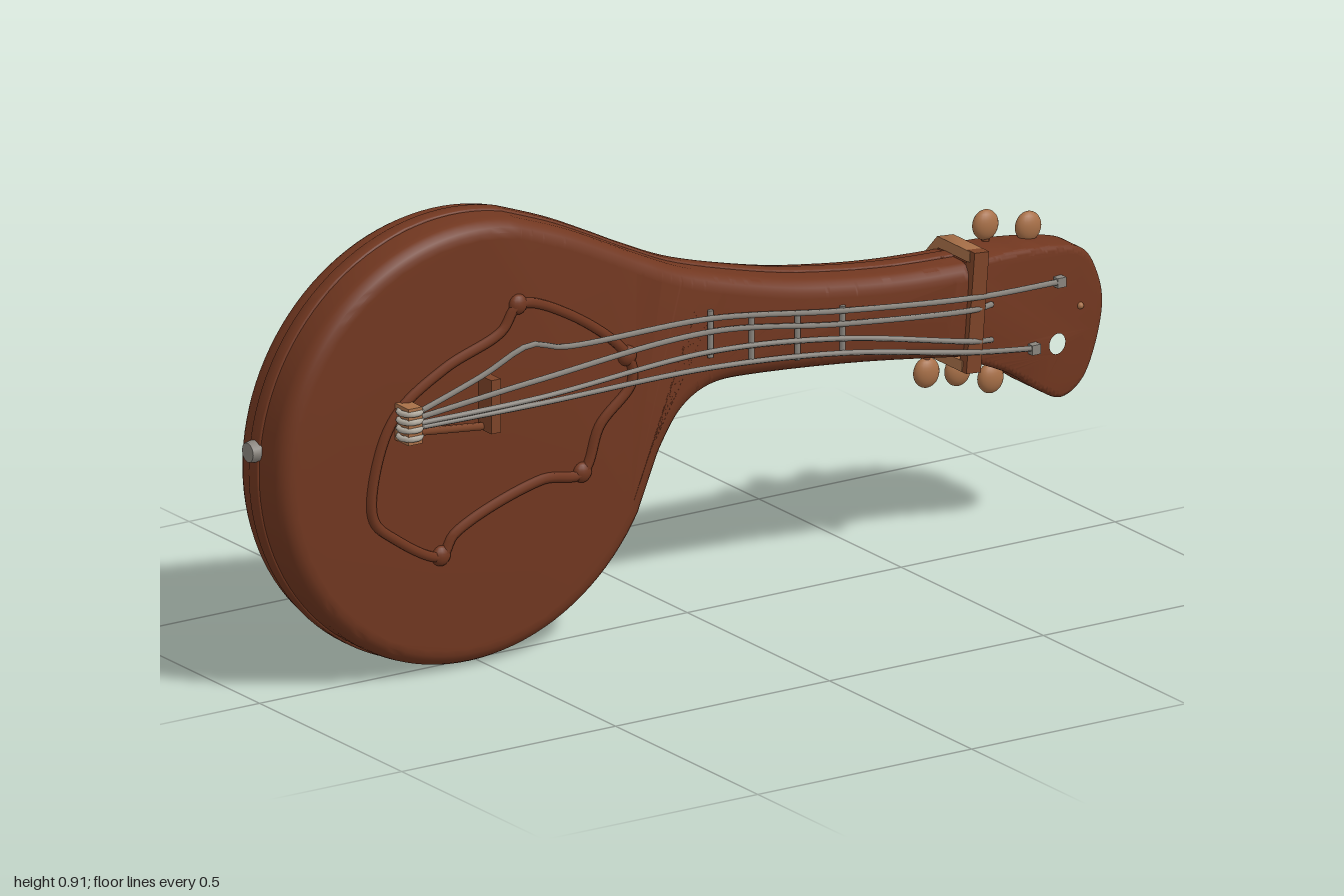
import * as THREE from 'three';
import { toCreasedNormals } from 'three/addons/utils/BufferGeometryUtils.js';

const mat = (name, color) => Object.assign(new THREE.MeshStandardMaterial({ color }), { name });
const V2 = (p) => new THREE.Vector2(p[0], p[1]);
const V3 = (p) => new THREE.Vector3(p[0], p[1], p[2]);

export function createModel() {
  const root = new THREE.Group();
  root.name = 'stringInstrument';
  const wood = mat('redBrownWood', 0x713720);
  const trim = mat('midBrownTrim', 0x7d4428);
  const tan = mat('tanWood', 0xa87048);
  const metal = mat('greyMetal', 0x8a857e);
  const pale = mat('paleMetal', 0xb5aea2);

  const add = (name, geo, material, pos = [0, 0, 0], parent = root) => {
    const m = new THREE.Mesh(geo, material);
    m.name = name;
    m.position.set(...pos);
    parent.add(m);
    return m;
  };
  // Extrusion filling z0..z1 with rounded edges; grow widens the outline; warp moves vertices
  const slab = (shape, z0, z1, round, grow = 0, warp = null) => {
    const g = new THREE.ExtrudeGeometry(shape, {
      depth: z1 - z0 - 2 * round, bevelThickness: round, bevelSize: round,
      bevelOffset: grow - round, bevelSegments: 5, curveSegments: 40,
    });
    g.translate(0, 0, z0 + round);
    if (warp) {
      const p = g.attributes.position;
      for (let i = 0; i < p.count; i++) p.setZ(i, warp(p.getX(i), p.getZ(i)));
    }
    return toCreasedNormals(g, 0.6);
  };
  const tube = (pts, r, closed = false, n = 60) => new THREE.TubeGeometry(
    new THREE.CatmullRomCurve3(pts.map(V3), closed, 'centripetal'), n, r, 6, closed);

  // Front surface height along the neck
  const frontZ = (x) => 0.05 - 0.02 * THREE.MathUtils.clamp((x + 0.1) / 0.75, 0, 1);

  // Round body flowing into the neck
  const outline = new THREE.Shape();
  const a0 = 1.31, a1 = 2 * Math.PI - 0.5;
  outline.moveTo(0.67, 0.603);
  outline.splineThru([[0.5, 0.611], [0.35, 0.628], [0.2, 0.655], [0, 0.71], [-0.12, 0.762],
    [-0.2, 0.802], [-0.3, 0.85], [-0.53 + 0.452 * Math.cos(a0), 0.457 + 0.452 * Math.sin(a0)]].map(V2));
  outline.absarc(-0.53, 0.457, 0.452, a0, a1, false);
  outline.splineThru([[-0.105, 0.31], [-0.078, 0.37], [-0.03, 0.435], [0.04, 0.468],
    [0.15, 0.468], [0.4, 0.443], [0.67, 0.403]].map(V2));
  const neckWarp = (x, z) => -0.112 + (z + 0.112) * (frontZ(x) + 0.112) / 0.162;
  add('body', slab(outline, -0.112, 0.05, 0.035, 0, neckWarp), wood);
  add('seamBand', slab(outline, -0.062, -0.028, 0.006, 0.005), wood);

  // Head with a round hole, thinning toward its tip
  const head = new THREE.Shape();
  head.moveTo(0.64, 0.605);
  head.splineThru([[0.75, 0.602], [0.88, 0.585], [0.95, 0.56], [0.985, 0.505], [0.998, 0.44],
    [0.98, 0.36], [0.945, 0.295], [0.89, 0.27], [0.83, 0.298], [0.75, 0.352], [0.64, 0.403]].map(V2));
  const hole = new THREE.Path();
  hole.absarc(0.875, 0.385, 0.036, 0, Math.PI * 2, true);
  head.holes.push(hole);
  add('head', slab(head, -0.11, 0.022, 0.015, 0,
    (x, z) => -0.11 + (z + 0.11) * (0.132 - 0.058 * (x - 0.66) / 0.34) / 0.132), wood);
  add('headStud', new THREE.SphereGeometry(0.007, 10, 8), tan, [0.935, 0.45, -0.024]);

  // Collar around the neck: front bar and wrapping back
  const collar = new THREE.Group();
  collar.name = 'collar';
  collar.position.set(0.65, 0.507, 0);
  collar.rotation.z = -0.08;
  root.add(collar);
  const bar = add('collarFront', new THREE.BoxGeometry(0.034, 0.245, 0.026), trim, [0, 0, 0.031], collar);
  bar.castShadow = false;
  const wrap = new THREE.Shape([[0.03, 0.122], [-0.085, 0.122], [-0.124, 0.08], [-0.124, -0.08],
    [-0.085, -0.122], [0.03, -0.122], [0.03, -0.1], [-0.08, -0.1], [-0.108, -0.07], [-0.108, 0.07],
    [-0.08, 0.1], [0.03, 0.1]].map(([z, y]) => new THREE.Vector2(-z, y)));
  const wrapGeo = new THREE.ExtrudeGeometry(wrap, { depth: 0.038, bevelEnabled: false });
  wrapGeo.translate(0, 0, -0.019).rotateY(Math.PI / 2);
  add('collarBack', toCreasedNormals(wrapGeo, 0.9), tan, [0, 0, 0], collar);

  // Tuning pegs on short stalks
  for (const [x, y, s] of [[0.75, 0.635, -1], [0.85, 0.613, -1], [0.612, 0.357, 1], [0.685, 0.347, 1], [0.762, 0.318, 1]]) {
    const g = new THREE.SphereGeometry(0.031, 20, 14);
    g.scale(0.93, 1, 0.55);
    add('pegKnob', g, tan, [x, y, -0.08]);
    add('pegStalk', new THREE.CylinderGeometry(0.008, 0.008, 0.06, 10), trim, [x, y + s * 0.035, -0.08]);
  }

  // Raised rim of the angular face guard, with a knob at each corner
  const guard = [[-0.755, 0.48], [-0.77, 0.35], [-0.72, 0.3], [-0.61, 0.245], [-0.58, 0.285],
    [-0.377, 0.358], [-0.28, 0.355], [-0.24, 0.445], [-0.165, 0.52], [-0.175, 0.575],
    [-0.31, 0.685], [-0.43, 0.728], [-0.47, 0.68], [-0.6, 0.63], [-0.71, 0.56]];
  add('guardRim', tube(guard.map(([x, y]) => [x, y, 0.052]), 0.011, true, 160), wood);
  for (const i of [3, 6, 9, 11]) {
    const g = new THREE.SphereGeometry(0.021, 14, 10);
    g.scale(1, 1, 0.65);
    add('guardCorner', g, wood, [guard[i][0], guard[i][1], 0.051]);
  }

  // Tailpiece with wound string ends, and the bridge
  add('tailpiece', new THREE.BoxGeometry(0.032, 0.075, 0.05), tan, [-0.7, 0.54, 0.072]);
  for (let i = 0; i < 4; i++) {
    const t = new THREE.TorusGeometry(0.022, 0.006, 6, 14);
    t.rotateX(Math.PI / 2);
    add('stringWinding', t, pale, [-0.7, 0.515 + i * 0.017, 0.077]);
  }
  add('bridge', new THREE.BoxGeometry(0.022, 0.11, 0.05), trim, [-0.51, 0.545, 0.07]);
  add('bridgeTie', tube([[-0.69, 0.52, 0.075], [-0.6, 0.508, 0.068], [-0.515, 0.497, 0.062]], 0.008, false, 12), trim);

  // Strings, rising off the face and running to the head
  const strings = [
    [[-0.7, 0.555, 0.08], [-0.54, 0.615, 0.095], [-0.44, 0.662, 0.108], [-0.36, 0.642, 0.103], [0.02, 0.617, 0.058], [0.33, 0.572, 0.048], [0.64, 0.54, 0.045], [0.878, 0.515, -0.006]],
    [[-0.7, 0.548, 0.08], [-0.43, 0.59, 0.118], [0.02, 0.59, 0.058], [0.33, 0.545, 0.048], [0.64, 0.515, 0.045], [0.7, 0.508, 0.018]],
    [[-0.7, 0.538, 0.08], [-0.43, 0.552, 0.115], [0.02, 0.549, 0.058], [0.33, 0.515, 0.048], [0.64, 0.45, 0.045], [0.7, 0.435, 0.018]],
    [[-0.7, 0.53, 0.08], [-0.43, 0.538, 0.11], [0.02, 0.516, 0.058], [0.33, 0.485, 0.048], [0.64, 0.428, 0.045], [0.81, 0.393, 0.004]],
  ];
  for (const s of strings) add('string', tube(s, 0.0058), metal);
  for (const p of [[0.875, 0.515, -0.01], [0.808, 0.393, 0.002]])
    add('stringAnchor', new THREE.BoxGeometry(0.02, 0.02, 0.024), metal, p);

  // Frets
  for (const [x, lo, hi] of [[0.02, 0.535, 0.632], [0.118, 0.51, 0.605], [0.227, 0.49, 0.59], [0.335, 0.478, 0.58]])
    add('fret', new THREE.CylinderGeometry(0.006, 0.006, hi - lo, 8), metal, [x, (lo + hi) / 2, frontZ(x) + 0.004]);

  // End pin on the tail of the body
  const pin = new THREE.CylinderGeometry(0.02, 0.024, 0.02, 12);
  pin.rotateZ(Math.PI / 2);
  add('endPin', pin, metal, [-0.988, 0.502, -0.045]);
  return root;
}
